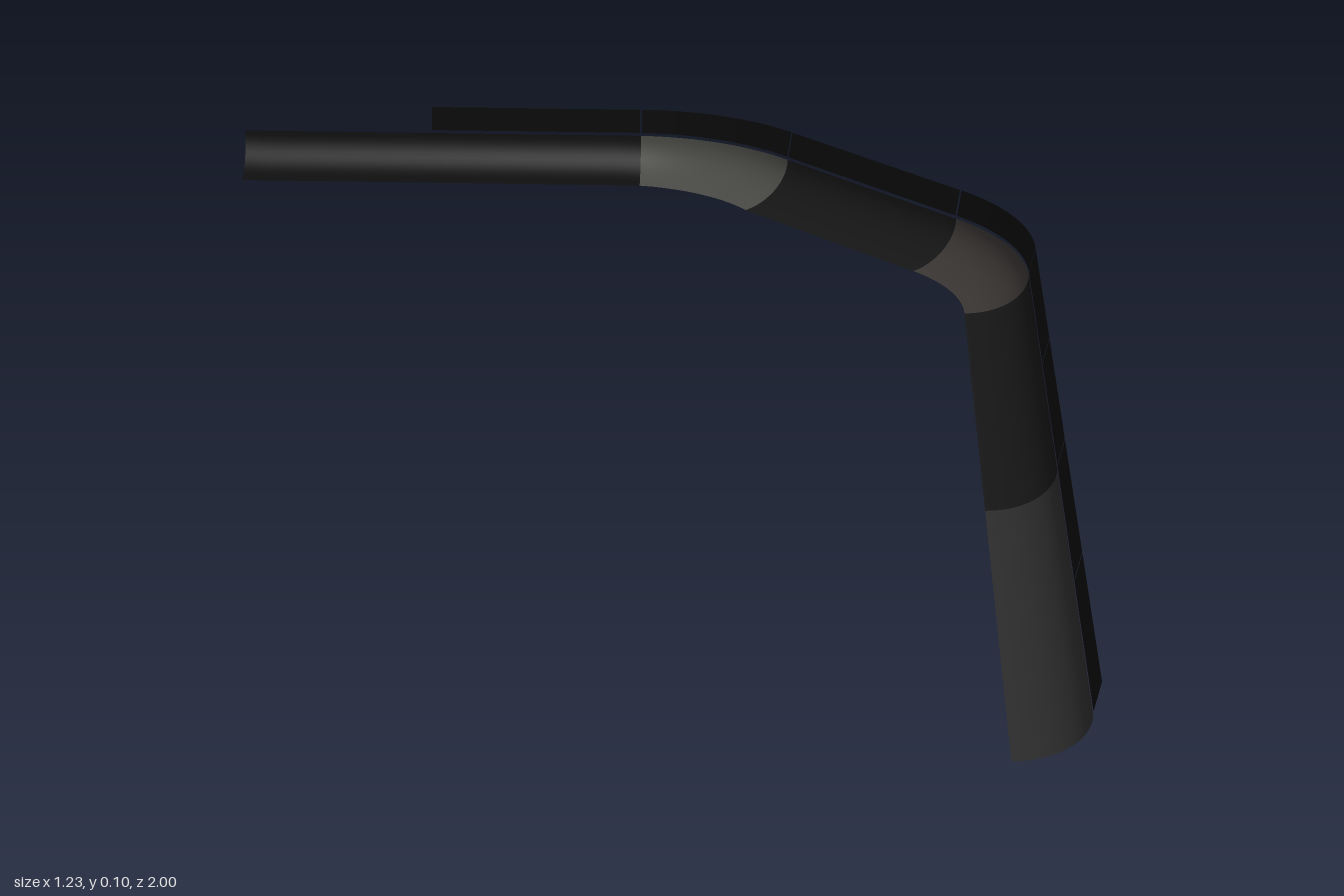
import * as THREE from 'three';

const Q = Math.PI / 4;
const mix = THREE.MathUtils.lerp;

// A station on the plan path: outer point, heading angle a (0 = side run, 2Q = back run)
// and k, which blends the wide slanted profile (0) into the narrow upright one (1).
const line = (x0, z0, x1, z1, a, k) => (t) => ({ x: mix(x0, x1, t), z: mix(z0, z1, t), a, k });
const bend = (cx, cz, r, a0, k0, k1) => (t) => {
  const a = a0 + Q * t;
  return { x: cx + r * Math.cos(a), z: cz - r * Math.sin(a), a, k: mix(k0, k1, t) };
};
const side = line(0.615, 1, 0.615, -0.405, 0, 0);
const sideBend = bend(0.275, -0.405, 0.34, 0, 0, 0);
const diagonal = line(0.515, -0.645, 0.26, -0.9, Q, 0);
const backBend = bend(0.02, -0.66, 0.34, Q, 0, 1);
const back = line(0.02, -1, -0.615, -1, 2 * Q, 1);

// Profiles give [inset from the path, height] for v from top to bottom
const trough = (v, k) => {
  const a = v * Math.PI / 2;
  const top = mix(0.008, 0, k);
  return [mix(0.1, 0.065, k) - (mix(0.1, 0.065, k) - top) * Math.cos(a), 0.061 * (1 - Math.sin(a))];
};
const lip = (v, k) => [mix(0, 0.008 * (1 - k), v), mix(0.105, 0.066, v)];

// Sweeps a profile along part of a path segment
function sweep(name, path, t0, t1, profile, rows, color) {
  const cols = 16, pos = [], idx = [];
  for (let i = 0; i <= cols; i++) {
    const s = path(mix(t0, t1, i / cols));
    for (let j = 0; j <= rows; j++) {
      const [d, y] = profile(j / rows, s.k);
      pos.push(s.x - d * Math.cos(s.a), y, s.z + d * Math.sin(s.a));
      if (i < cols && j < rows) {
        const p = i * (rows + 1) + j, q = p + rows + 1;
        idx.push(p, p + 1, q, q, p + 1, q + 1);
      }
    }
  }
  const geo = new THREE.BufferGeometry();
  geo.setAttribute('position', new THREE.Float32BufferAttribute(pos, 3));
  geo.setIndex(idx);
  geo.computeVertexNormals();
  const mesh = new THREE.Mesh(geo, new THREE.MeshStandardMaterial({ color, side: THREE.DoubleSide }));
  mesh.name = name;
  return mesh;
}

export function createModel() {
  const group = new THREE.Group();
  group.name = 'curvedTrim';

  // Curved lower panels
  const panels = [
    ['sidePanelFront', side, 0, 0.5, 0x2c2c2c],
    ['sidePanelRear', side, 0.5, 1, 0x161616],
    ['sideBendPanel', sideBend, 0, 1, 0x3a3634],
    ['diagonalPanel', diagonal, 0, 1, 0x161616],
    ['backBendPanel', backBend, 0, 1, 0x4a4a46],
    ['backPanel', back, 0, 1, 0x0e0e0e],
  ];
  for (const [name, path, t0, t1, color] of panels) {
    group.add(sweep(name, path, t0, t1, trough, 12, color));
  }

  // Upright lip strips, separated by hairline gaps
  const strips = [
    [side, 0, 0.25, 1.405], [side, 0.25, 0.5, 1.405], [side, 0.5, 0.75, 1.405], [side, 0.75, 1, 1.405],
    [sideBend, 0, 1, 0.267], [diagonal, 0, 1, 0.361], [backBend, 0, 1, 0.267], [back, 0, 0.527, 0.635],
  ];
  strips.forEach(([path, t0, t1, length], i) => {
    const gap = 0.0015 / length;
    group.add(sweep('lipStrip' + (i + 1), path, t0 + (i ? gap : 0), t1 - (i < 7 ? gap : 0), lip, 1, 0x0c0c0c));
  });
  return group;
}
